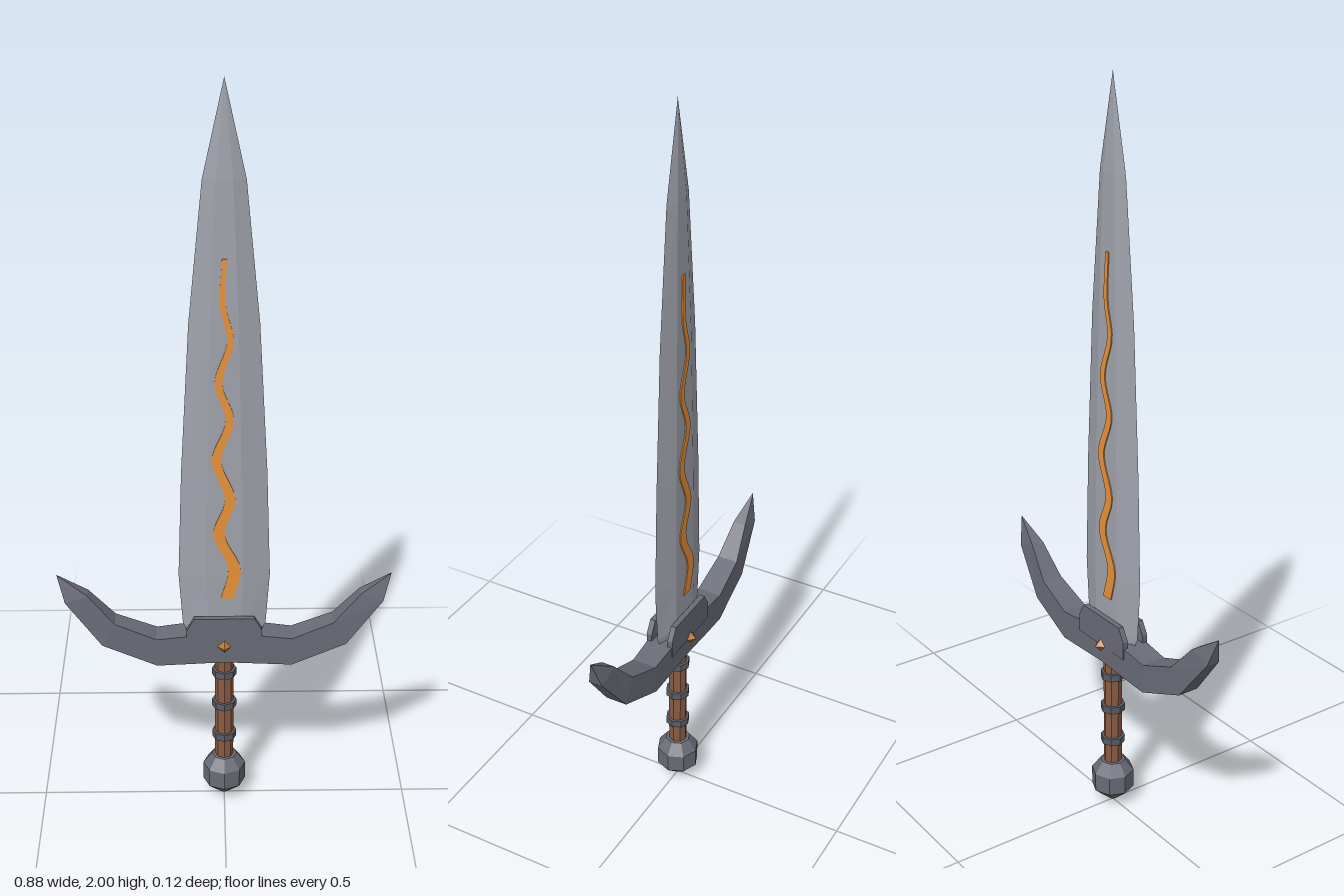
import * as THREE from 'three';

const paint = (color) => new THREE.MeshStandardMaterial({ color, flatShading: true });

// Skins a series of rings (each ring counterclockwise about the direction of travel) and caps both ends.
function loft(rings) {
  const n = rings[0].length;
  const index = [];
  for (let i = 0; i < rings.length - 1; i++) {
    for (let j = 0; j < n; j++) {
      const a = i * n + j, b = i * n + (j + 1) % n;
      index.push(a, b, b + n, a, b + n, a + n);
    }
  }
  const last = (rings.length - 1) * n;
  for (let j = 1; j < n - 1; j++) {
    index.push(0, j + 1, j, last, last + j, last + j + 1);
  }
  const geo = new THREE.BufferGeometry();
  geo.setAttribute('position', new THREE.Float32BufferAttribute(rings.flat(2), 3));
  geo.setIndex(index);
  const flat = geo.toNonIndexed();
  flat.computeVertexNormals();
  return flat;
}

// Blade stations: height, half width, half thickness
const BLADE = [
  [0.5, 0.085, 0.021], [0.55, 0.11, 0.022], [0.7, 0.12, 0.022], [1.0, 0.11, 0.021],
  [1.4, 0.088, 0.018], [1.76, 0.053, 0.012], [2.0, 0, 0],
];

function bladeThickness(y) {
  const i = BLADE.findIndex((s) => s[0] >= y);
  const [y0, , t0] = BLADE[i - 1], [y1, , t1] = BLADE[i];
  return THREE.MathUtils.mapLinear(y, y0, y1, t0, t1);
}

export function createModel() {
  const model = new THREE.Group();
  const steel = paint(0xa0a3ac), iron = paint(0x696b76), darkIron = paint(0x5a5c66);
  const leather = paint(0x8a5c42), orange = paint(0xe8923a), bronze = paint(0xb87530);

  const add = (name, geometry, material, parent = model) => {
    const mesh = new THREE.Mesh(geometry, material);
    mesh.name = name;
    parent.add(mesh);
    return mesh;
  };

  // Blade: flat centre with bevelled edges
  add('blade', loft(BLADE.map(([y, w, t]) => {
    const f = w * 0.4;
    return [[w, y, 0], [f, y, -t], [-f, y, -t], [-w, y, 0], [-f, y, t], [f, y, t]];
  })), steel);

  // Guard: half stations from the middle out: top x, top y, top half depth, bottom x, bottom y, bottom half depth
  const half = [
    [0, 0.53, 0.037, 0, 0.45, 0.037],
    [0.1, 0.53, 0.036, 0.1, 0.445, 0.037],
    [0.18, 0.52, 0.034, 0.18, 0.44, 0.035],
    [0.29, 0.565, 0.029, 0.325, 0.5, 0.029],
    [0.36, 0.645, 0.018, 0.42, 0.625, 0.019],
    [0.44, 0.7, 0.001, 0.44, 0.697, 0.001],
  ];
  const mirrored = half.slice(1).reverse().map(([a, b, c, d, e, f]) => [-a, b, c, -d, e, f]);
  add('guard', loft([...mirrored, ...half].map(([tx, ty, tz, bx, by, bz]) =>
    [[tx, ty, -tz], [tx, ty, tz], [bx, by, bz], [bx, by, -bz]])), iron);

  // Clasp plate outline
  const plate = new THREE.Shape([
    [-0.1, 0.5], [0.1, 0.5], [0.1, 0.55], [0.08, 0.585], [-0.08, 0.585], [-0.1, 0.55],
  ].map(([x, y]) => new THREE.Vector2(x, y)));

  // Vein path: height, offset
  const vein = new THREE.CatmullRomCurve3([
    [0.64, 0.008], [0.73, 0.026], [0.83, -0.014], [0.93, 0.015], [1.04, -0.02], [1.15, 0.014],
    [1.25, -0.015], [1.36, 0.015], [1.45, -0.003], [1.57, 0],
  ].map(([y, x]) => new THREE.Vector3(x, y, 0)));
  const veinRings = vein.getPoints(48).map(({ x, y }, i) => {
    const w = THREE.MathUtils.lerp(0.017, 0.006, i / 48);
    const z = bladeThickness(y) + 0.003;
    return [[x + w, y, 0.004], [x - w, y, 0.004], [x - w, y, z], [x + w, y, z]];
  });

  // Each face carries a clasp plate, a stud and a glowing vein
  for (const side of ['front', 'back']) {
    const face = new THREE.Group();
    face.name = side + 'Face';
    face.rotation.y = side === 'front' ? 0 : Math.PI;
    model.add(face);
    const clasp = new THREE.ExtrudeGeometry(plate, { depth: 0.015, bevelEnabled: false });
    add('claspPlate', clasp, iron, face).position.z = 0.024;
    const stud = add('stud', new THREE.OctahedronGeometry(0.018), bronze, face);
    stud.position.set(0, 0.5, 0.039);
    add('vein', loft(veinRings), orange, face);
  }

  // Grip with three binding rings
  add('grip', new THREE.CylinderGeometry(0.025, 0.025, 0.34, 8), leather).position.y = 0.29;
  for (const y of [0.2, 0.3, 0.4]) {
    add('gripRing', new THREE.CylinderGeometry(0.033, 0.033, 0.02, 8), darkIron).position.y = y;
  }

  // Faceted pommel
  const profile = [[0, 0], [0.012, 0.006], [0.058, 0.048], [0.058, 0.1], [0.034, 0.132], [0, 0.132]];
  add('pommel', new THREE.LatheGeometry(profile.map(([r, y]) => new THREE.Vector2(r, y)), 8), iron);

  return model;
}
